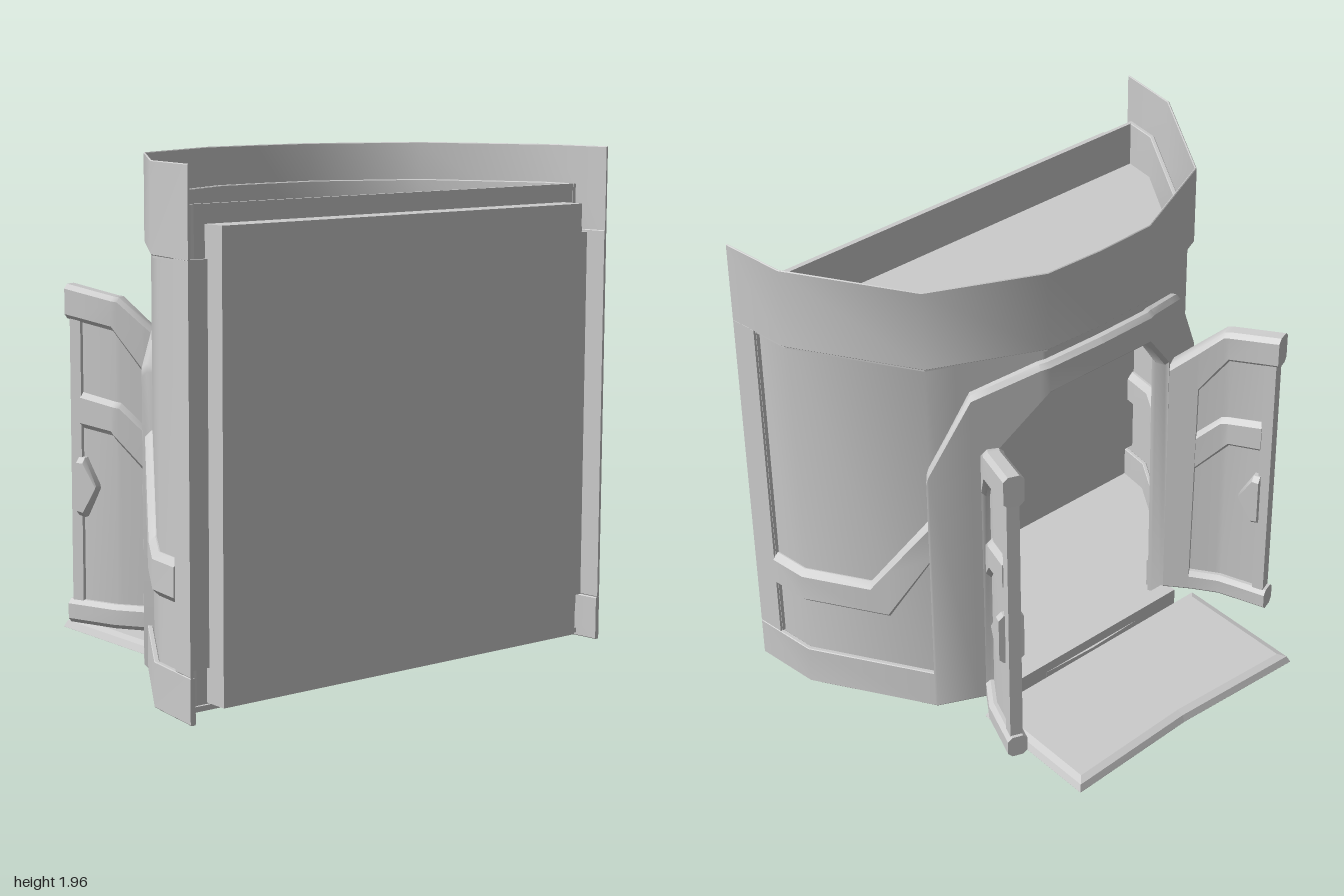
import * as THREE from 'three';
import { toCreasedNormals } from 'three/addons/utils/BufferGeometryUtils.js';

const material = new THREE.MeshStandardMaterial({ color: 0xcccccc, side: THREE.DoubleSide });

// Plans as [x, z] for the +z half
const WALL = [[-0.205, 0], [-0.195, 0.25], [0, 0.675], [0.46, 0.965], [0.73, 1]];
const DOOR = [[-0.5, 0.68], [-0.3, 0.605], [-0.2, 0.535], [-0.11, 0.46]];

// Piecewise linear lookup; a plain number is a constant
function at(points, x, k = 1) {
  if (typeof points === 'number') return points;
  let i = 0;
  while (i < points.length - 2 && x > points[i + 1][0]) i++;
  const [a, b] = [points[i], points[i + 1]];
  const t = THREE.MathUtils.clamp((x - a[0]) / (b[0] - a[0]), 0, 1);
  return a[k] + (b[k] - a[k]) * t;
}

// Adds mitred outward normals to a plan: [x, z, nx, nz]
function withNormals(plan) {
  return plan.map(([x, z], i) => {
    const dirs = [];
    if (i > 0) dirs.push([x - plan[i - 1][0], z - plan[i - 1][1]]);
    if (i < plan.length - 1) dirs.push([plan[i + 1][0] - x, plan[i + 1][1] - z]);
    const n = new THREE.Vector2();
    dirs.forEach(([dx, dz]) => n.add(new THREE.Vector2(-dz, dx).normalize()));
    if (z === 0) n.set(-1, 0);
    n.normalize();
    return [x, z, n.x, n.y];
  });
}
const wallPlan = withNormals(WALL);
const doorPlan = withNormals(DOOR);

function planPoint(plan, x, off) {
  return [x + at(plan, x, 2) * off, at(plan, x, 1) + at(plan, x, 3) * off];
}

// A bevelled band that follows a plan between x0 and x1, from bottom(x) to top(x)
function ribbon(plan, side, x0, x1, bottom, top, in0, out, bevel = 0.003) {
  const xs = [x0, x1];
  [plan, bottom, top].forEach((list) => {
    if (Array.isArray(list)) list.forEach((p) => { if (p[0] > x0 && p[0] < x1) xs.push(p[0]); });
  });
  const cuts = [...new Set(xs)].sort((a, b) => a - b);
  const pos = [], index = [], n = 8;
  const tri = (a, b, c) => (side > 0 ? index.push(a, b, c) : index.push(a, c, b));
  cuts.forEach((x) => {
    const lo = at(bottom, x), hi = at(top, x);
    const b = Math.max(0.0005, Math.min(bevel, (hi - lo) * 0.45, (out - in0) * 0.45));
    [[in0, lo + b], [in0 + b, lo], [out - b, lo], [out, lo + b],
      [out, hi - b], [out - b, hi], [in0 + b, hi], [in0, hi - b]].forEach(([o, y]) => {
      const [px, pz] = planPoint(plan, x, o);
      pos.push(px, y, pz * side);
    });
  });
  const last = (cuts.length - 1) * n;
  for (let r = 0; r < last; r += n) {
    for (let j = 0; j < n; j++) {
      const k = (j + 1) % n;
      tri(r + j, r + n + j, r + n + k);
      tri(r + j, r + n + k, r + k);
    }
  }
  for (let j = 1; j < n - 1; j++) {
    tri(0, j, j + 1);
    tri(last, last + j + 1, last + j);
  }
  const geo = new THREE.BufferGeometry();
  geo.setAttribute('position', new THREE.Float32BufferAttribute(pos, 3));
  geo.setIndex(index);
  return toCreasedNormals(geo, 0.75);
}

function add(parent, name, geometry) {
  const mesh = new THREE.Mesh(geometry, material);
  mesh.name = name;
  parent.add(mesh);
  return mesh;
}

function box(parent, name, x0, x1, y0, y1, z0, z1) {
  const mesh = add(parent, name, new THREE.BoxGeometry(x1 - x0, y1 - y0, z1 - z0));
  mesh.position.set((x0 + x1) / 2, (y0 + y1) / 2, (z0 + z1) / 2);
}

// A flat slab filling the wall plan
function slab(parent, name, off, endX, y, height) {
  const half = [...WALL.map((p) => p[0]).filter((x) => x < endX), endX].map((x) => planPoint(wallPlan, x, off));
  const outline = [...half, ...half.slice(1).reverse().map(([x, z]) => [x, -z])];
  const shape = new THREE.Shape(outline.map(([x, z]) => new THREE.Vector2(x, z)));
  const geo = new THREE.ExtrudeGeometry(shape, { depth: height, bevelEnabled: false });
  geo.rotateX(-Math.PI / 2);
  add(parent, name, geo).position.y = y;
}

function buildWall(side) {
  const g = new THREE.Group();
  const part = (name, ...args) => add(g, name, ribbon(wallPlan, side, ...args));
  part('fascia', -0.205, 0.73, 1.625, 1.955, -0.008, 0);
  part('upperLiner', -0.205, 0.62, 1.62, 1.81, -0.08, -0.062);
  part('baseBand', 0, 0.73, 0, 0.17, -0.02, 0);
  part('baseLiner', -0.09, 0.62, 0.02, 0.17, -0.08, -0.062);
  part('endPost', 0.62, 0.73, 0.17, 1.63, -0.012, 0);
  part('recessedPanel', -0.205, 0.63,
    [[-0.205, 1.5], [-0.19, 1.48], [-0.06, 1.25], [-0.05, 0.1], [0.63, 0.1]], 1.64, -0.035, -0.025);
  part('wallTrim', -0.005, 0.62, [[-0.005, 0.74], [0.16, 0.41], [0.62, 0.41]],
    [[-0.005, 0.94], [0.22, 0.57], [0.62, 0.57]], -0.07, 0.005, 0.025);
  // Arched surround: sloping head running into an upright post
  part('doorSurround', -0.205, 0.008,
    [[-0.205, 1.44], [-0.195, 1.43], [-0.112, 1.21], [-0.104, 0], [0.01, 0]],
    [[-0.205, 1.575], [-0.18, 1.565], [-0.07, 1.48], [0, 1.17], [0.01, 1.13]], -0.06, 0.015, 0.018);
  const z = [0.86 * side, 0.975 * side].sort((a, b) => a - b);
  box(g, 'panelEnd', 0.62, 0.65, 0.17, 1.62, z[0], z[1]);
  return g;
}

function buildDoor(side) {
  const g = new THREE.Group();
  const part = (name, ...args) => add(g, name, ribbon(doorPlan, side, ...args));
  part('doorPanel', -0.46, -0.15, 0.12, [[-0.46, 1.35], [-0.28, 1.32], [-0.15, 1.15]], -0.008, 0.008);
  part('doorTopAndHingeStile', -0.5, -0.11,
    [[-0.5, 1.295], [-0.44, 1.285], [-0.3, 1.26], [-0.2, 1.1], [-0.192, 0.1], [-0.11, 0.1]],
    [[-0.5, 1.43], [-0.28, 1.39], [-0.11, 1.21]], -0.04, 0.04, 0.018);
  part('doorBottomRail', -0.5, -0.11, 0.09, 0.185, -0.04, 0.04, 0.018);
  part('doorFreeStile', -0.488, -0.442, 0.15, 1.34, -0.025, 0.025, 0.008);
  part('doorMidBand', -0.445, -0.19, [[-0.445, 0.87], [-0.31, 0.85], [-0.19, 0.7]],
    [[-0.445, 1.01], [-0.28, 0.98], [-0.19, 0.88]], -0.03, 0.03, 0.02);
  part('doorHandle', -0.452, -0.37, [[-0.452, 0.525], [-0.425, 0.52], [-0.37, 0.635]],
    [[-0.452, 0.755], [-0.425, 0.755], [-0.37, 0.65]], -0.05, 0.05, 0.02);
  return g;
}

// Thin mat with sloping edges and a slightly hollow outer side
function matGeometry() {
  const shape = new THREE.Shape([[-0.745, -0.575], [-0.17, -0.57], [-0.17, 0.57], [-0.745, 0.575], [-0.72, 0]]
    .map(([x, z]) => new THREE.Vector2(x, z)));
  const geo = new THREE.ExtrudeGeometry(shape, {
    depth: 0.001, bevelThickness: 0.037, bevelSize: 0.04, bevelOffset: -0.04, bevelSegments: 2,
  });
  geo.rotateX(-Math.PI / 2);
  const p = geo.attributes.position;
  for (let i = 0; i < p.count; i++) p.setY(i, Math.max(0, p.getY(i)));
  geo.computeVertexNormals();
  return geo;
}

export function createModel() {
  const model = new THREE.Group();
  model.name = 'curvedEntrance';
  [['front', 1], ['back', -1]].forEach(([label, side]) => {
    const wall = buildWall(side);
    wall.name = label + 'Wall';
    const door = buildDoor(side);
    door.name = label + 'Door';
    model.add(wall, door);
  });
  slab(model, 'ceiling', -0.008, 0.62, 1.615, 0.01);
  slab(model, 'floor', -0.03, 0.64, 0.015, 0.02);
  box(model, 'rearSheet', 0.62, 0.635, 0.02, 1.81, -0.92, 0.92);
  box(model, 'rearWall', 0.635, 0.735, 0.04, 1.74, -0.86, 0.86);
  box(model, 'threshold', -0.165, -0.105, 0, 0.08, -0.47, 0.47);
  add(model, 'doorMat', matGeometry());
  return model;
}
